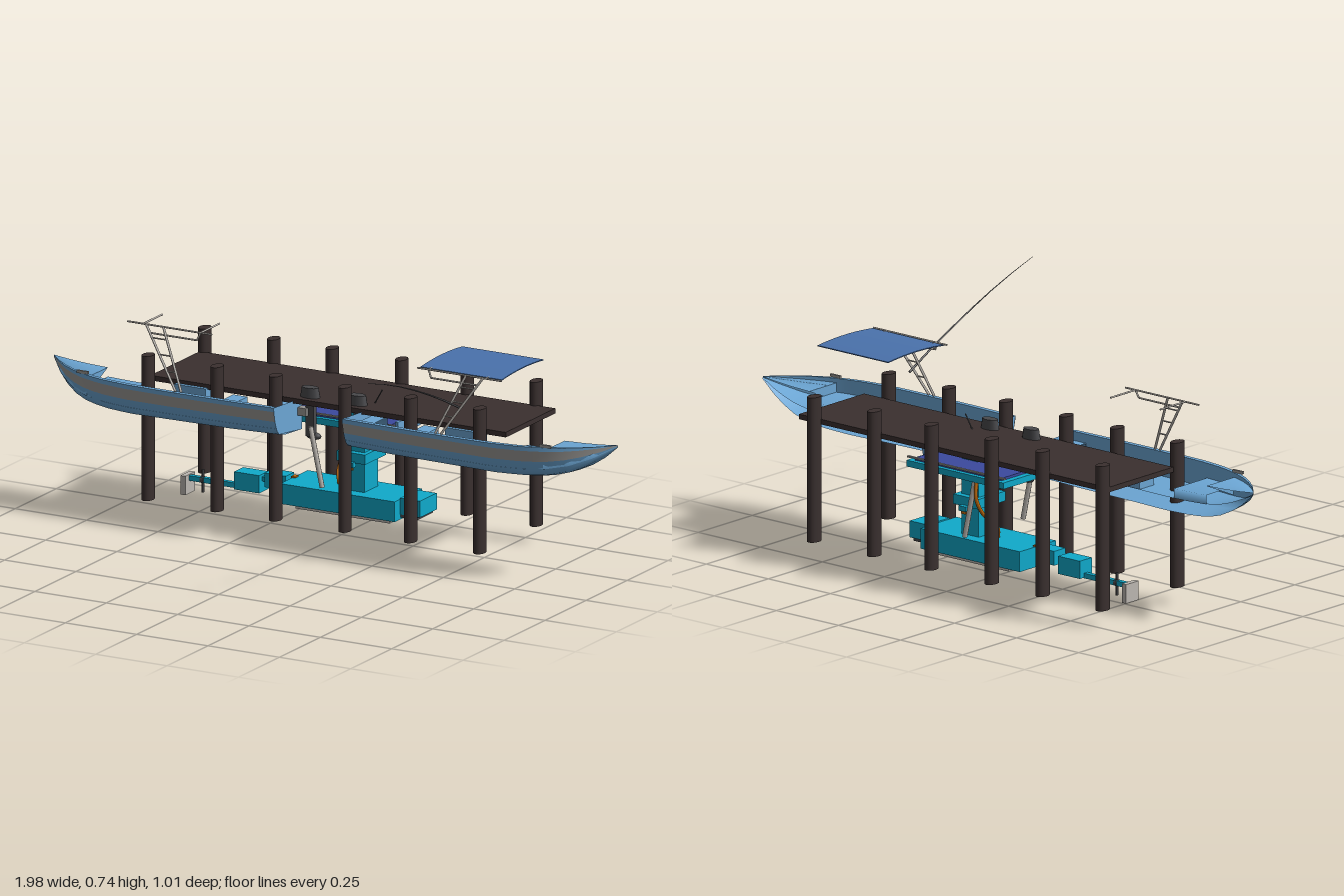
import * as THREE from 'three';

const mat = (name, color, side = THREE.FrontSide) => {
  const m = new THREE.MeshStandardMaterial({ color, side });
  m.name = name;
  return m;
};

export function createModel() {
  const root = new THREE.Group();
  const wood = mat('dark timber', 0x3a302f);
  const hullBlue = mat('hull blue', 0x6ca6d4, THREE.DoubleSide);
  const bandGrey = mat('band grey', 0x9c9a97, THREE.DoubleSide);
  const canvas = mat('canopy blue', 0x4a72ac, THREE.DoubleSide);
  const cyan = mat('machine cyan', 0x10aacb);
  const pale = mat('pale grey', 0xbdb8b2);
  const orange = mat('hose orange', 0xc9700f);
  const indigo = mat('panel indigo', 0x3c4a9e);
  const dark = mat('engine grey', 0x48484b);

  const add = (parent, name, geo, material, x = 0, y = 0, z = 0) => {
    const m = new THREE.Mesh(geo, material);
    m.name = name;
    m.position.set(x, y, z);
    parent.add(m);
    return m;
  };
  // box given by its limits on each axis
  const box = (parent, name, material, x0, x1, y0, y1, z0, z1) =>
    add(parent, name, new THREE.BoxGeometry(x1 - x0, y1 - y0, z1 - z0), material,
      (x0 + x1) / 2, (y0 + y1) / 2, (z0 + z1) / 2);
  // round bar between two points
  const bar = (parent, name, material, a, b, r = 0.003, r2 = r) => {
    const p = new THREE.Vector3(...a), q = new THREE.Vector3(...b);
    const m = add(parent, name, new THREE.CylinderGeometry(r2, r, p.distanceTo(q), 8), material);
    m.position.copy(p).add(q).multiplyScalar(0.5);
    m.quaternion.setFromUnitVectors(new THREE.Vector3(0, 1, 0), q.sub(p).normalize());
    return m;
  };
  const tube = (parent, name, material, pts, r) => {
    const curve = new THREE.CatmullRomCurve3(pts.map(p => new THREE.Vector3(...p)));
    return add(parent, name, new THREE.TubeGeometry(curve, 32, r, 8), material);
  };

  // Dock and piles
  box(root, 'dockDeck', wood, -0.62, 0.625, 0.42, 0.436, -0.465, -0.163);
  for (const x of [-0.612, -0.37, -0.165, 0.078, 0.308, 0.55])
    for (const z of [-0.135, -0.48]) {
      const pile = add(root, 'pile', new THREE.CylinderGeometry(0.026, 0.026, 0.457, 20), wood, x, 0.2815, z);
      pile.scale.x = 0.69;
    }

  // Hull stations: x, half beam, keel height
  const stations = [[0.12, 0.174, 0.325], [0.3, 0.179, 0.32], [0.5, 0.18, 0.318], [0.63, 0.177, 0.315],
    [0.72, 0.166, 0.317], [0.8, 0.144, 0.323], [0.87, 0.109, 0.343], [0.93, 0.065, 0.377], [0.988, 0.003, 0.428]];
  const SHEER = 0.435, CENTRE = -0.217;
  const stationAt = x => {
    let i = 0;
    while (i < stations.length - 2 && x > stations[i + 1][0]) i++;
    const a = stations[i], b = stations[i + 1], t = (x - a[0]) / (b[0] - a[0]);
    return [x, a[1] + (b[1] - a[1]) * t, a[2] + (b[2] - a[2]) * t];
  };
  // Sweep a profile of [beam fraction, height fraction] points along the hull
  const loft = (parent, name, material, profile, x0, x1, capped = false) => {
    const pos = [], idx = [], n = profile.length, steps = 20;
    const put = ([x, b, k]) => profile.forEach(([u, v]) =>
      pos.push(x, k + (SHEER - k) * v, CENTRE + b * u));
    for (let i = 0; i <= steps; i++) put(stationAt(x0 + (x1 - x0) * i / steps));
    for (let i = 0; i < steps; i++)
      for (let j = 0; j < n - 1; j++) {
        const a = i * n + j, b = a + n;
        idx.push(a, a + 1, b, a + 1, b + 1, b);
      }
    if (capped) {
      const base = pos.length / 3;
      put(stationAt(x0));
      for (let j = 1; j < n - 1; j++) idx.push(base, base + j + 1, base + j);
    }
    const g = new THREE.BufferGeometry();
    g.setAttribute('position', new THREE.Float32BufferAttribute(pos, 3));
    g.setIndex(idx);
    g.computeVertexNormals();
    return add(parent, name, g, material);
  };

  // One half boat with its bow toward +x, mirrored for the other side
  const makeBoat = side => {
    const boat = new THREE.Group();
    boat.name = side > 0 ? 'leftBoat' : 'rightBoat';
    const X0 = 0.12, X1 = 0.988;
    loft(boat, 'gunwaleSide', hullBlue, [[1, 1], [0.995, 0.88]], X0, X1);
    loft(boat, 'greyBand', bandGrey, [[0.995, 0.88], [0.95, 0.58]], X0, X1);
    loft(boat, 'lowerHull', hullBlue, [[0.95, 0.58], [0.88, 0.3], [0.8, 0.16], [0.6, 0.08], [0, 0]], X0, X1);
    loft(boat, 'gunwaleTop', hullBlue, [[0.91, 1], [1, 1]], X0, X1);
    loft(boat, 'innerSide', hullBlue, [[0.91, 1], [0.88, 0.36]], X0, X1);
    loft(boat, 'floor', hullBlue, [[0.9, 0.36], [0, 0.36]], X0, X1);
    loft(boat, 'foreStep', hullBlue, [[0.89, 0.36], [0.89, 0.62], [0, 0.62], [0, 0.36]], 0.67, 0.8, true);
    loft(boat, 'bowDeck', hullBlue, [[0.91, 0.36], [0.91, 0.88], [0, 0.88]], 0.8, X1, true);
    loft(boat, 'transom', hullBlue, [[1, 1], [0.95, 0.58], [0.88, 0.3], [0.8, 0.16], [0, 0], [0, 0.9]], X0, X0 + 0.012, true);
    loft(boat, 'sternBench', hullBlue, [[0.89, 0.36], [0.89, 0.75], [0, 0.75], [0, 0.36]], 0.132, 0.18, true);
    box(boat, 'console', hullBlue, 0.42, 0.53, 0.36, 0.425, -0.215, -0.15);
    box(boat, 'seatBox', hullBlue, 0.31, 0.36, 0.36, 0.4, -0.215, -0.14);
    box(boat, 'bowCleat', bandGrey, 0.79, 0.83, 0.435, 0.444, -0.085, -0.078);

    // Outboard engine
    const cowl = add(boat, 'engineCowl', new THREE.CylinderGeometry(0.028, 0.036, 0.05, 16), dark, 0.083, 0.442, -0.203);
    cowl.scale.z = 0.6;
    box(boat, 'engineLeg', dark, 0.07, 0.098, 0.31, 0.42, -0.218, -0.2);
    const gear = add(boat, 'gearCase', new THREE.SphereGeometry(0.012, 12, 8), dark, 0.078, 0.31, -0.216);
    gear.scale.x = 2.2;
    box(boat, 'engineBracket', bandGrey, 0.09, 0.122, 0.375, 0.4, -0.217, -0.19);

    // Canopy frame
    const zt = -0.085, yt = 0.622;
    for (const [xb, xt] of [[0.465, 0.59], [0.445, 0.53]])
      bar(boat, 'frameLeg', pale, [xb, 0.437, -0.046], [xt, yt, zt], 0.004);
    for (const t of [0.3, 0.55, 0.8])
      bar(boat, 'frameRung', pale, [0.465 + 0.125 * t, 0.437 + 0.185 * t, -0.046 - 0.039 * t],
        [0.445 + 0.085 * t, 0.437 + 0.185 * t, -0.046 - 0.039 * t], 0.0025);
    bar(boat, 'frameTopBar', pale, [0.36, yt, zt], [0.655, yt, zt]);
    bar(boat, 'frameLowBar', pale, [0.41, 0.598, zt + 0.004], [0.575, 0.598, zt + 0.004]);
    bar(boat, 'frameBrace', pale, [0.41, 0.598, zt + 0.004], [0.4, yt, zt]);
    for (const x of [0.4, 0.6]) bar(boat, 'frameArm', pale, [x, yt, zt], [x, yt, -0.2]);
    boat.scale.x = side;
    root.add(boat);
  };
  makeBoat(1);
  makeBoat(-1);

  // Cambered canopy sheet
  const sheet = new THREE.BoxGeometry(0.285, 0.003, 0.255, 1, 1, 10);
  const sp = sheet.attributes.position;
  for (let i = 0; i < sp.count; i++)
    sp.setY(i, sp.getY(i) + 0.007 * (1 - (sp.getZ(i) / 0.1275) ** 2));
  sheet.computeVertexNormals();
  add(root, 'canopy', sheet, canvas, 0.508, 0.622, -0.222);

  // Fishing rod, tapering toward the tip
  const rod = [[0.5, 0.513, -0.097], [0.504, 0.56, 0], [0.508, 0.604, 0.1], [0.512, 0.645, 0.2],
    [0.517, 0.682, 0.3], [0.521, 0.715, 0.4], [0.526, 0.744, 0.503]];
  for (let i = 0; i < rod.length - 1; i++)
    bar(root, 'fishingRod', dark, rod[i], rod[i + 1], 0.0036 - i * 0.0005, 0.0031 - i * 0.0005);
  bar(root, 'tiller', dark, [0.115, 0.425, -0.242], [0.145, 0.48, -0.246], 0.002);

  // Machine platform beneath the dock
  box(root, 'platform', cyan, -0.19, 0.2, 0.348, 0.368, -0.455, -0.217);
  box(root, 'platformPanel', indigo, -0.17, 0.18, 0.368, 0.376, -0.44, -0.232);
  for (const z of [-0.448, -0.226]) box(root, 'platformRail', bandGrey, -0.19, 0.2, 0.376, 0.381, z - 0.004, z + 0.004);
  const endShape = new THREE.Shape([[-0.065, 0], [0.065, 0], [0.073, 0.042], [-0.073, 0.042]].map(p => new THREE.Vector2(...p)));
  const endPlate = add(root, 'platformEnd', new THREE.ExtrudeGeometry(endShape, { depth: 0.01, bevelEnabled: false }),
    hullBlue, 0.2, 0.349, -0.3);
  endPlate.rotation.y = Math.PI / 2;

  // Mast and collar
  box(root, 'mast', cyan, 0, 0.07, 0.13, 0.418, -0.351, -0.266);
  box(root, 'collar', cyan, -0.015, 0.085, 0.234, 0.265, -0.372, -0.245);
  for (const s of [-1, 1]) {
    const z = -0.309 + s * 0.068;
    box(root, 'collarArm', cyan, 0.02, 0.05, 0.222, 0.238, z - 0.01, z + 0.01);
    box(root, 'collarTip', orange, 0.025, 0.045, 0.212, 0.222, z - 0.004, z + 0.004);
  }
  // Slanted struts
  for (const z of [-0.173, -0.443])
    bar(root, 'strut', pale, [-0.065, 0.352, z], [-0.024, 0.165, z], 0.008);
  tube(root, 'hose', orange, [[-0.075, 0.362, -0.445], [-0.075, 0.3, -0.45], [-0.075, 0.25, -0.425], [-0.07, 0.205, -0.375],
    [-0.055, 0.17, -0.325], [-0.04, 0.13, -0.308]], 0.006);
  box(root, 'hoseFitting', orange, -0.205, -0.19, 0.122, 0.143, -0.319, -0.298);

  // Submerged body
  box(root, 'lowerBody', cyan, -0.2, 0.2, 0.075, 0.139, -0.391, -0.224);
  box(root, 'keelPlate', pale, -0.15, 0.18, 0.066, 0.075, -0.385, -0.23);
  box(root, 'noseBox', cyan, 0.2, 0.27, 0.091, 0.143, -0.36, -0.257);
  box(root, 'noseBase', dark, 0.2, 0.26, 0.081, 0.091, -0.355, -0.26);

  // Tail boom, propellers and rudder
  box(root, 'tailBoxInner', cyan, -0.29, -0.215, 0.1, 0.145, -0.335, -0.283);
  box(root, 'tailBoxOuter', cyan, -0.395, -0.307, 0.078, 0.134, -0.337, -0.281);
  box(root, 'tailLink', cyan, -0.31, -0.195, 0.112, 0.126, -0.318, -0.3);
  box(root, 'tailBoom', cyan, -0.57, -0.39, 0.076, 0.092, -0.317, -0.301);
  box(root, 'rudder', pale, -0.582, -0.565, 0.035, 0.095, -0.338, -0.28);
  for (const [x, r] of [[-0.52, 0.036], [-0.478, 0.08]]) {
    box(root, 'propellerBlades', dark, x - 0.003, x + 0.003, 0.08 - r, 0.08 + r, -0.313, -0.305);
    const hub = add(root, 'propellerHub', new THREE.CylinderGeometry(0.011, 0.011, 0.012, 12), dark, x, 0.084, -0.309);
    hub.rotation.z = Math.PI / 2;
  }
  return root;
}
